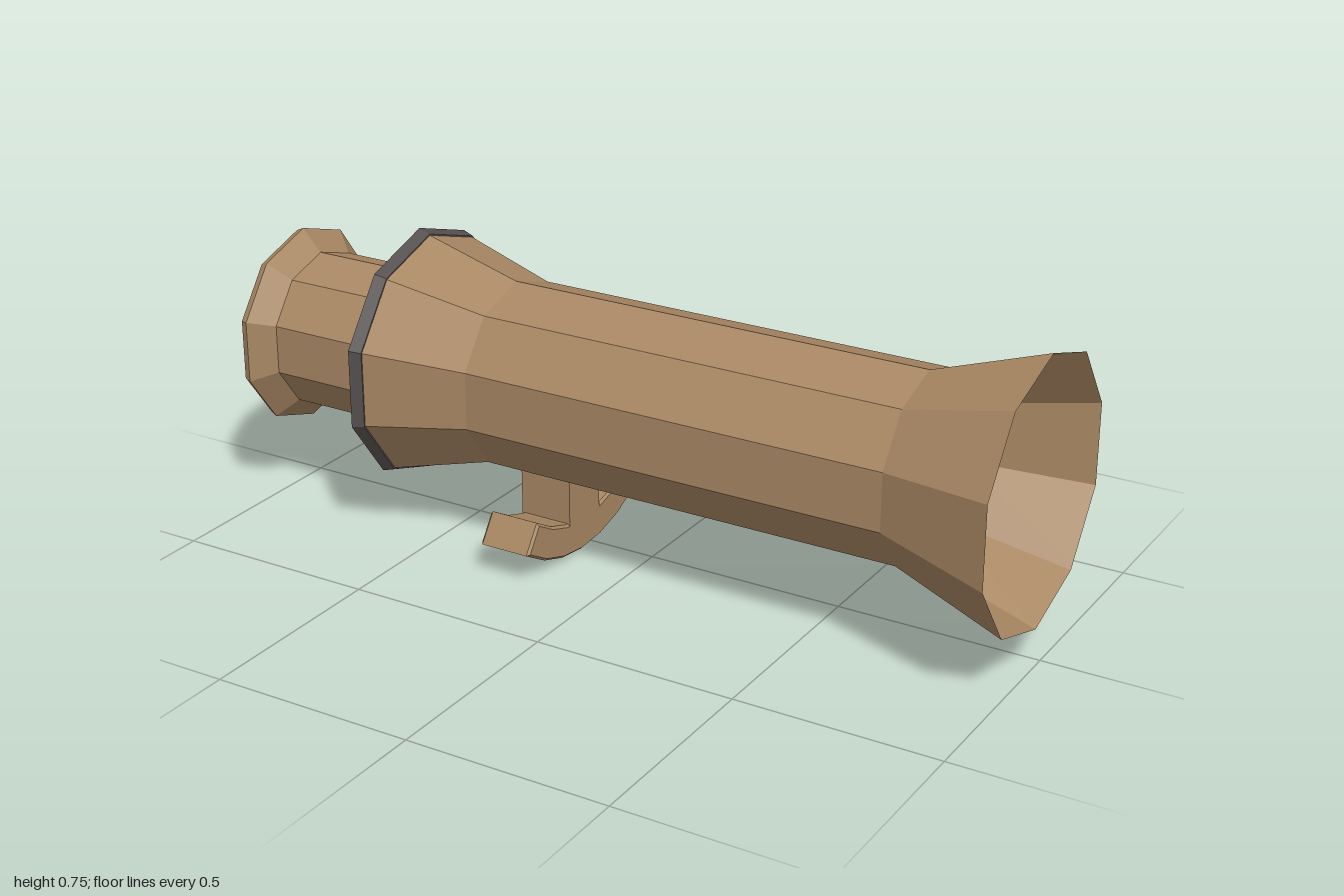
import * as THREE from 'three';

const AXIS_Y = 0.423, AXIS_Z = 0.04;
const material = (color) => new THREE.MeshStandardMaterial({ color, flatShading: true, side: THREE.DoubleSide });

// Faceted shell around the x axis from [x, radius] pairs
function shell(profile, sides, start = Math.PI / 2, length = Math.PI * 2) {
  const pts = profile.map(([x, r]) => new THREE.Vector2(r, x));
  return new THREE.LatheGeometry(pts, sides, start, length).rotateZ(-Math.PI / 2);
}

// Quads, each given by four corners
function quads(list) {
  const pos = [];
  for (const [a, b, c, d] of list) pos.push(...a, ...b, ...c, ...a, ...c, ...d);
  const g = new THREE.BufferGeometry();
  g.setAttribute('position', new THREE.Float32BufferAttribute(pos, 3));
  g.computeVertexNormals();
  return g;
}

export function createModel() {
  const model = new THREE.Group();
  model.name = 'shoulderLauncher';
  const tan = material(0xa88763), dark = material(0x55504f), teal = material(0x0e8fa3);

  const add = (parent, name, geometry, mat, x = 0, y = 0, z = 0) => {
    const mesh = new THREE.Mesh(geometry, mat);
    mesh.name = name;
    mesh.position.set(x, y, z);
    parent.add(mesh);
    return mesh;
  };

  // Barrel parts share the tube axis
  const barrel = new THREE.Group();
  barrel.name = 'barrel';
  barrel.position.set(0, AXIS_Y, AXIS_Z);
  model.add(barrel);

  const R = 0.229, HALF = R * Math.sin(Math.PI / 10), FACE = -R * Math.cos(Math.PI / 10);
  add(barrel, 'muzzleBell', shell([[0.72, R], [1, 0.325]], 10), tan);
  add(barrel, 'rearFlare', shell([[-0.6, 0.167], [-0.6, 0.3], [-0.35, R]], 10), tan);
  // Straight tube, leaving out the facet that holds the control panel
  add(barrel, 'mainTube', shell([[-0.35, R], [0.72, R]], 9, Math.PI * 1.1, Math.PI * 1.8), tan);
  add(barrel, 'collar', shell([[-0.625, 0.19], [-0.625, 0.312], [-0.595, 0.302], [-0.595, 0.28]], 10), dark);
  add(barrel, 'rearTube', shell([
    [-0.6, 0.167], [-0.6, 0.195], [-0.93, 0.195], [-0.98, 0.249], [-1, 0.24],
    [-1, 0.19], [-0.97, 0.15], [-0.93, 0.167], [-0.6, 0.167],
  ], 10), tan);

  // Panel facet: flat, step inwards, floor, then a ramp out to the bell
  const FLOOR = -0.185;
  const path = [[-0.35, FACE], [-0.03, FACE], [-0.03, FLOOR], [0.28, FLOOR], [0.72, FACE]];
  const faces = [];
  for (let i = 0; i + 1 < path.length; i++) {
    const [x0, z0] = path[i], [x1, z1] = path[i + 1];
    faces.push([[x0, -HALF, z0], [x0, HALF, z0], [x1, HALF, z1], [x1, -HALF, z1]]);
    if (i > 1) {
      for (const y of [-HALF, HALF]) faces.push([[x0, y, FACE], [x1, y, FACE], [x1, y, z1], [x0, y, z0]]);
    }
  }
  add(barrel, 'panelRecess', quads(faces), tan);

  // Buttons and display bar
  const key = (name, x, y, w) => add(barrel, name, new THREE.BoxGeometry(w, 0.025, 0.027), teal, x, y - AXIS_Y, FLOOR + 0.005);
  for (const x of [0, 0.04, 0.08]) key('button', x, 0.432, 0.027);
  for (const x of [0, 0.04]) key('button', x, 0.379, 0.027);
  key('displayBar', 0.195, 0.379, 0.11);

  // Curved shoulder support: an arc swept below the barrel, with a post
  const arc = new THREE.Shape();
  const N = 8, A0 = -35, A1 = 54;
  const arcPoint = (r, i) => {
    const a = THREE.MathUtils.degToRad(A0 + (A1 - A0) * i / N);
    return [r * Math.sin(a), -r * Math.cos(a)];
  };
  arc.moveTo(...arcPoint(0.415, 0));
  for (let i = 1; i <= N; i++) arc.lineTo(...arcPoint(0.415, i));
  for (let i = N; i >= 0; i--) arc.lineTo(...arcPoint(0.345, i));
  const arcGeo = new THREE.ExtrudeGeometry(arc, {
    depth: 0.123, bevelEnabled: true, bevelSegments: 1, bevelThickness: 0.006, bevelSize: 0.006, bevelOffset: 0,
  });
  // Extrusion runs along +x, the shape's x becomes -z
  arcGeo.rotateY(Math.PI / 2);
  add(model, 'shoulderArc', arcGeo, tan, -0.294, AXIS_Y, AXIS_Z);
  add(model, 'supportPost', new THREE.BoxGeometry(0.135, 0.18, 0.132), tan, -0.2325, 0.155, 0.041);

  // Hollow hexagonal side handle with a flanged front end
  const handle = shell([
    [-0.51, 0.037], [-0.51, 0.063], [0, 0.063], [0.02, 0.081], [0.04, 0.081], [0.04, 0.037], [-0.51, 0.037],
  ], 6, THREE.MathUtils.degToRad(-5));
  add(model, 'sideHandle', handle, dark, 0, 0.189, -0.267);

  return model;
}
